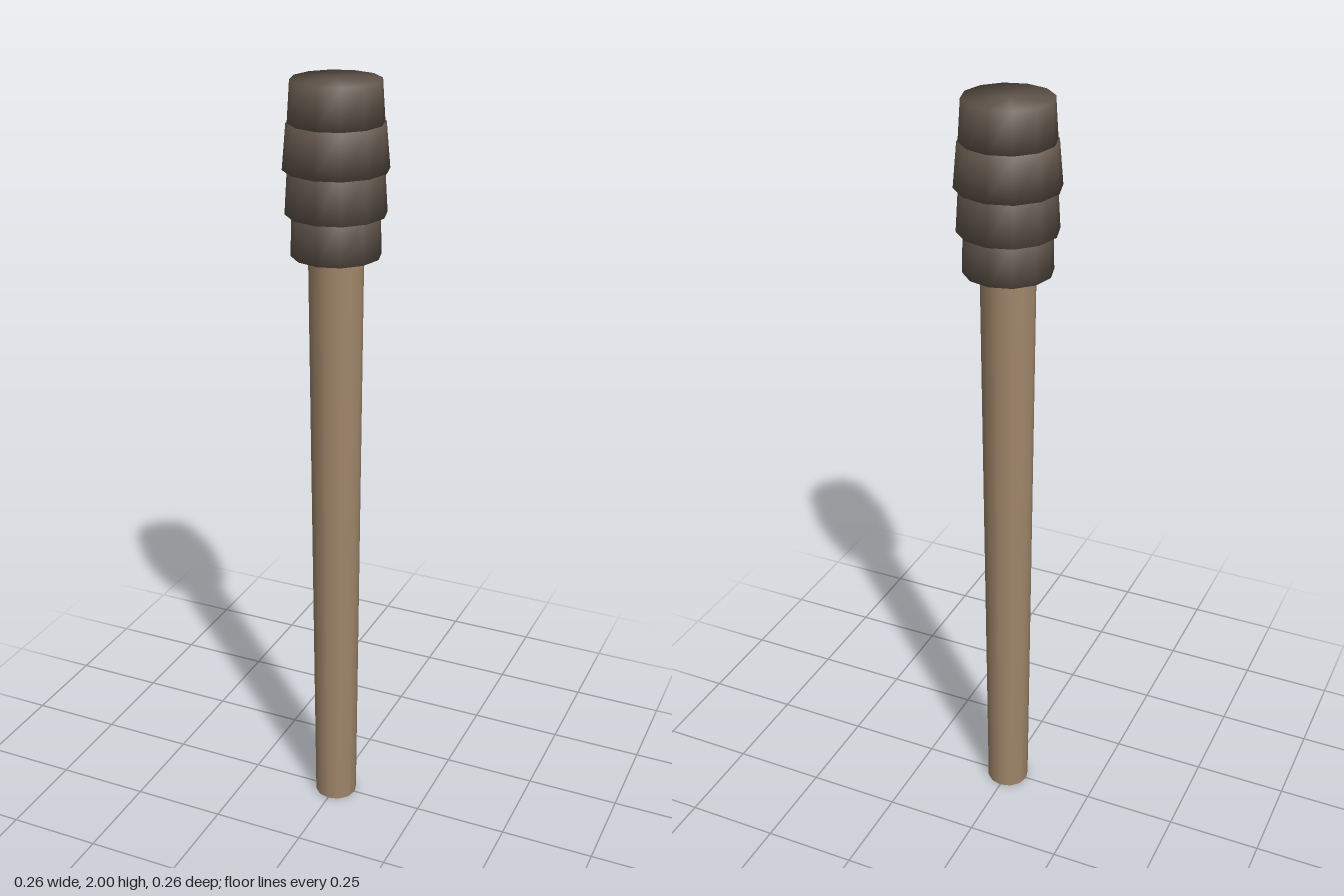
import * as THREE from 'three';
import { mergeVertices } from 'three/addons/utils/BufferGeometryUtils.js';

const SIDES = 12;

// Tapered cylinder whose shading runs softly over the cap edges
function softFrustum(rTop, rBottom, y0, y1) {
  let g = new THREE.CylinderGeometry(rTop, rBottom, y1 - y0, SIDES);
  g.translate(0, (y0 + y1) / 2, 0);
  g.deleteAttribute('uv');
  g.deleteAttribute('normal');
  g = mergeVertices(g, 1e-4);
  g.computeVertexNormals();
  return g;
}

export function createModel() {
  const group = new THREE.Group();
  group.name = 'torch';
  const wood = new THREE.MeshStandardMaterial({ color: 0xa0866a });
  const cloth = new THREE.MeshStandardMaterial({ color: 0x62564c });

  const add = (name, geometry, material) => {
    const mesh = new THREE.Mesh(geometry, material);
    mesh.name = name;
    group.add(mesh);
  };

  // Handle, widening towards the head
  add('handle', softFrustum(0.069, 0.057, 0, 1.66), wood);

  // Stacked wrappings: bottom y, top y, bottom radius, top radius
  const wraps = [
    [1.58, 1.70, 0.111, 0.107],
    [1.683, 1.81, 0.124, 0.116],
    [1.79, 1.90, 0.129, 0.119],
    [1.897, 2.0, 0.116, 0.109],
  ];
  wraps.forEach(([y0, y1, rBottom, rTop], i) =>
    add(`wrap${i + 1}`, softFrustum(rTop, rBottom, y0, y1), cloth));

  return group;
}
